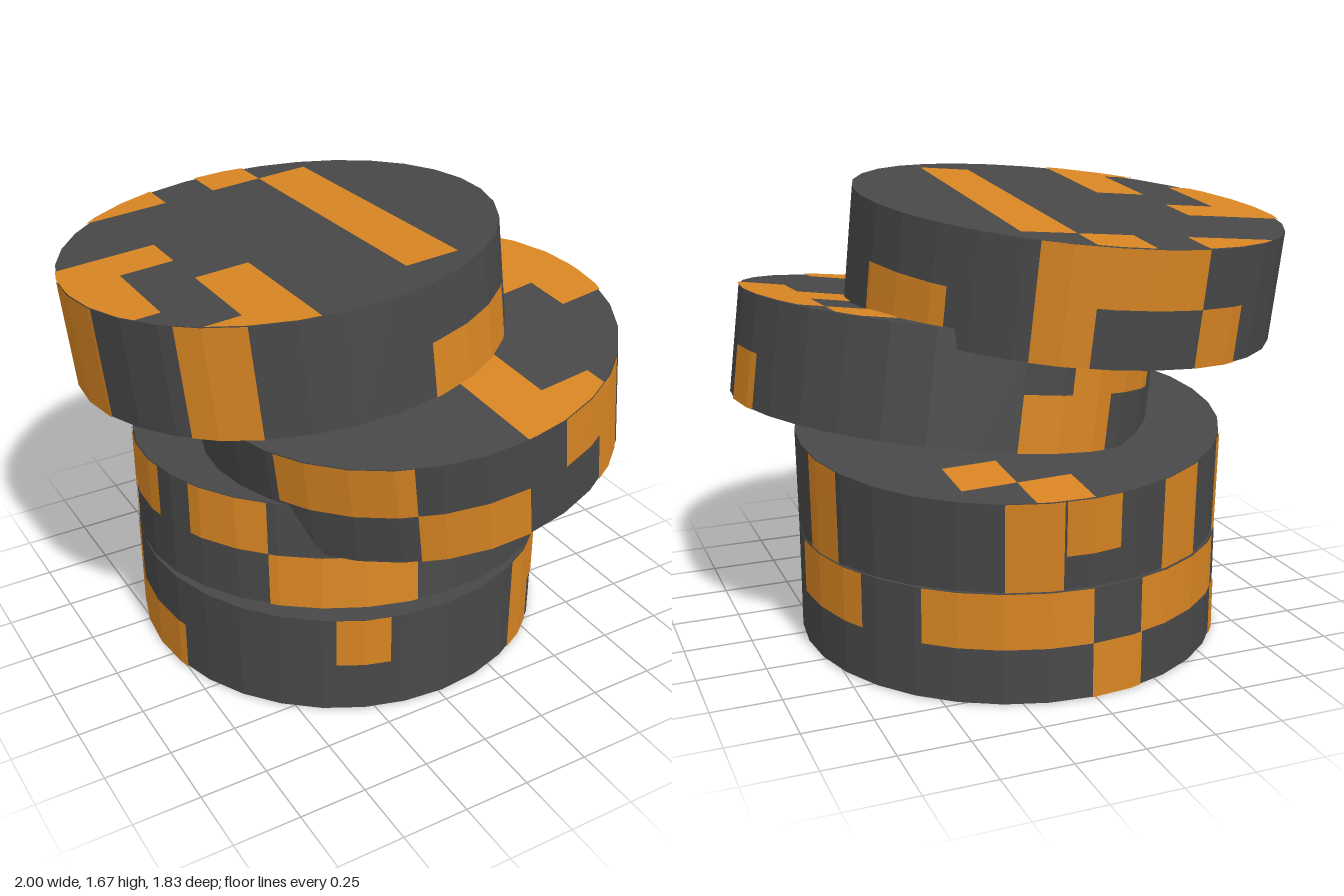
import * as THREE from 'three';

const R = 0.788, H = 0.4, N = 32, STEP = (2 * Math.PI) / N, LIFT = 0.004;
const CELL = 0.197;   // inlays follow a square grid, eight cells across a disc
const COLUMN = 14.4;  // one grid cell along the rim, in degrees
const SPACING = 0.395;
const dark = new THREE.MeshStandardMaterial({ color: 0x484848 });
dark.name = 'charcoal';
const orange = new THREE.MeshStandardMaterial({ color: 0xd88522 });
orange.name = 'orange';

// Flat-shaded geometry from a list of triangle corners
function faceted(points) {
  const g = new THREE.BufferGeometry().setFromPoints(points);
  g.computeVertexNormals();
  return g;
}

// Inlay following the faceted rim, starting at an angle from the front towards +x
function rimInlay(start, width, y0, y1) {
  const a0 = THREE.MathUtils.degToRad(start), a1 = THREE.MathUtils.degToRad(start + width);
  const angles = [a0];
  for (let k = Math.floor(a0 / STEP) + 1; k * STEP < a1; k++) angles.push(k * STEP);
  angles.push(a1);
  const at = (a, y) => {
    const off = a - Math.floor(a / STEP) * STEP - STEP / 2;
    const r = (R * Math.cos(STEP / 2)) / Math.cos(off) + LIFT;
    return new THREE.Vector3(r * Math.sin(a), y, r * Math.cos(a));
  };
  const p = [];
  for (let i = 0; i + 1 < angles.length; i++) {
    const [a, b] = [angles[i], angles[i + 1]];
    p.push(at(a, y0), at(b, y0), at(b, y1), at(a, y0), at(b, y1), at(a, y1));
  }
  return faceted(p);
}

// Block of grid cells on an end face, clipped to the disc outline
function faceInlay(u, v, w, d, yaw, top) {
  const c = Math.cos(yaw), s = Math.sin(yaw);
  let poly = [[u, v], [u, v + d], [u + w, v + d], [u + w, v]].map(([x, z]) =>
    [(x * c - z * s) * CELL, (x * s + z * c) * CELL]);
  const limit = R * Math.cos(STEP / 2) + 0.003;
  for (let k = 0; k < N; k++) {
    const nx = Math.sin((k + 0.5) * STEP), nz = Math.cos((k + 0.5) * STEP);
    const dist = (q) => q[0] * nx + q[1] * nz - limit;
    const out = [];
    poly.forEach((q, i) => {
      const r = poly[(i + 1) % poly.length], dq = dist(q), dr = dist(r);
      if (dq <= 0) out.push(q);
      if (dq * dr < 0) {
        const t = dq / (dq - dr);
        out.push([q[0] + t * (r[0] - q[0]), q[1] + t * (r[1] - q[1])]);
      }
    });
    poly = out;
  }
  const y = (H / 2 + LIFT) * (top ? 1 : -1);
  const pts = poly.map(([x, z]) => new THREE.Vector3(x, y, z));
  if (!top) pts.reverse();
  const p = [];
  for (let i = 1; i + 1 < pts.length; i++) p.push(pts[0], pts[i], pts[i + 1]);
  return faceted(p);
}

// One disc of the stack: body, rim inlays [start, width] and face inlays [u, v, width, depth]
function makeDisc(name, level, { x, z, leanX = 0, leanZ = 0, yaw = 0, upper, lower, full, top = [], bottom = [] }) {
  const disc = new THREE.Group();
  disc.name = name;
  disc.position.set(x, H / 2 + level * SPACING, z);
  disc.quaternion.setFromUnitVectors(
    new THREE.Vector3(0, 1, 0), new THREE.Vector3(leanX, 1, leanZ).normalize());
  const add = (geometry, material, part) => {
    const mesh = new THREE.Mesh(geometry, material);
    mesh.name = part;
    disc.add(mesh);
  };

  const body = new THREE.CylinderGeometry(R, R, H, N).toNonIndexed();
  body.computeVertexNormals();
  add(body, dark, 'discBody');

  const rim = (arcs, y0, y1) => arcs.forEach(([start, width = COLUMN]) =>
    add(rimInlay(start, width, y0, y1), orange, 'rimInlay'));
  rim(upper, 0, H / 2);
  rim(lower, -H / 2, 0);
  rim(full, -H / 2, H / 2);

  const face = (blocks, isTop, part) => blocks.forEach(([u, v, w = 1, d = 1]) =>
    add(faceInlay(u, v, w, d, yaw, isTop), orange, part));
  face(top, true, 'topInlay');
  face(bottom, false, 'bottomInlay');
  return disc;
}

export function createModel() {
  const model = new THREE.Group();
  model.name = 'discStack';

  model.add(makeDisc('bottomDisc', 0, {
    x: 0.015, z: -0.087,
    upper: [[-30], [41, 10], [90, 29], [137, 43], [194, 37], [239, 16]],
    lower: [[180], [231, 53]],
    full: [[26.8]],
    bottom: [[-3, 1, 6], [-3, 0], [0, -2], [-1, -1], [-3, -2, 2], [-4, -2, 1, 2]],
  }));

  model.add(makeDisc('lowerMiddleDisc', 1, {
    x: 0.0175, z: -0.0875, leanX: 0.032, leanZ: -0.089,
    upper: [[-71.5, 24], [173], [250, 25]],
    lower: [[-47.5, 38.5], [41.5, 11.5]],
    full: [[96.4], [158], [201], [232, 18]],
    top: [[0, -4], [1, -3]],
    bottom: [[-2.5, 3, 2]],
  }));

  model.add(makeDisc('upperMiddleDisc', 2, {
    x: 0.19, z: 0.12, leanX: -0.14, leanZ: 0.055,
    upper: [[-65, 36], [12, 16], [194, 36]],
    lower: [[-29, 29], [90], [180, 28]],
    full: [[27.6]],
    top: [[2, -3], [3, -2, 1, 3], [2, -1], [0, 1, 1, 2], [0, 3, 2]],
    bottom: [[2, -1, 2]],
  }));

  model.add(makeDisc('topDisc', 3, {
    x: -0.195, z: -0.105, leanX: -0.08, leanZ: -0.072, yaw: 0.046,
    upper: [[163, 29], [238, 12]],
    lower: [[10, 38], [100, 28], [192]],
    full: [[-52, 18], [150], [250, 32]],
    top: [[1, -3, 1, 6], [-4, -1, 2], [-4, 0, 1, 2], [-2, 1, 1, 3], [-3, 3], [-4, -4, 3], [0, -4]],
    bottom: [[-4, 0, 3]],
  }));

  return model;
}
